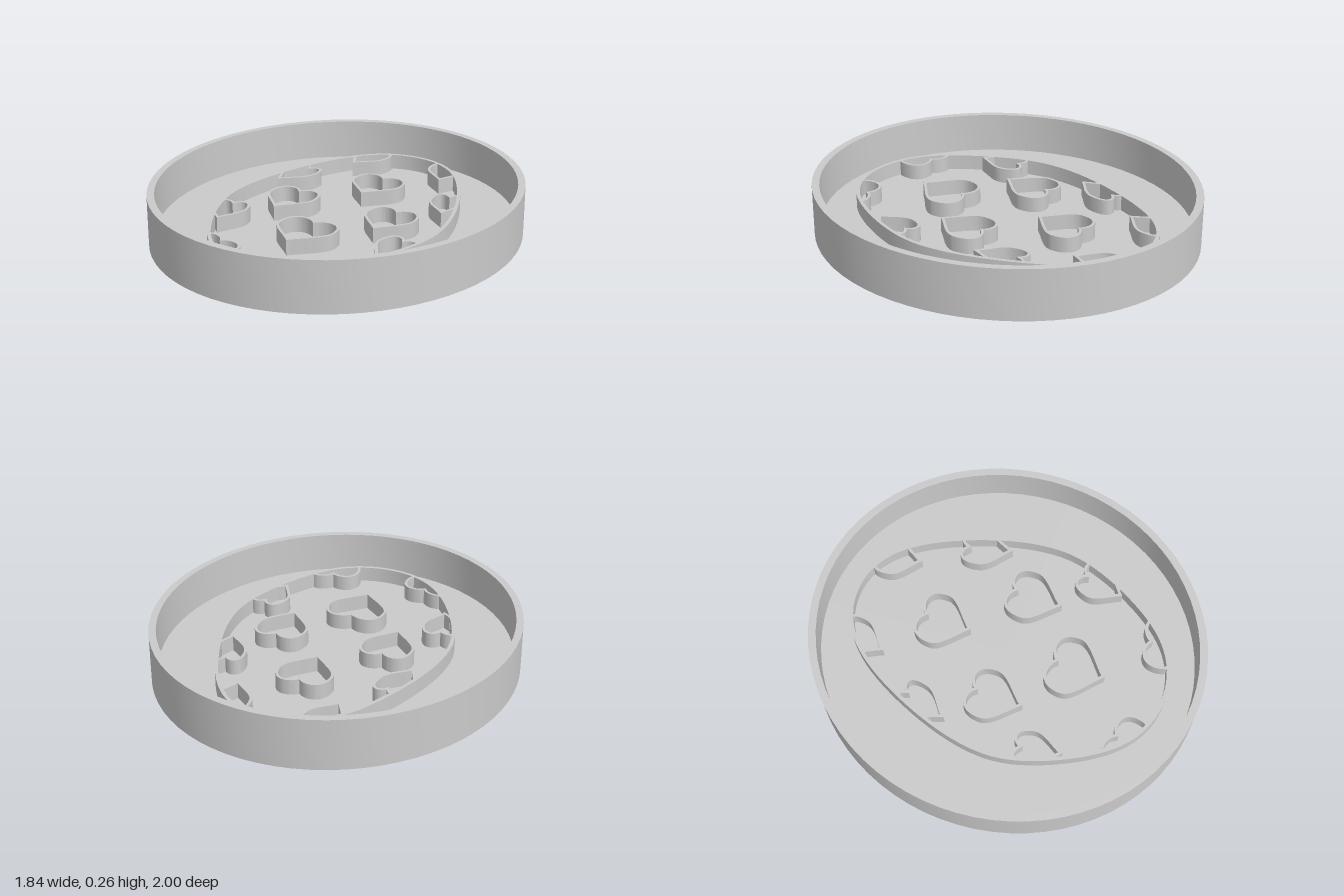
import * as THREE from 'three';
import { toCreasedNormals } from 'three/addons/utils/BufferGeometryUtils.js';

const FLOOR = 0.052, WALL_TOP = 0.132, RIM_TOP = 0.262, CX = 0.018;

// half width of the egg outline at depth z
function eggHalf(z) {
  const t = z < 0.08 ? (0.08 - z) / 0.92 : (z - 0.08) / 0.755;
  return t >= 1 ? 0 : 0.587 * Math.sqrt(1 - t * t) * (1 - 0.45 * t * t * (1 - t));
}

// egg outline as [x, z] points
function eggPath(n) {
  const pts = [];
  for (let i = 0; i < n; i++) {
    const a = (i / n) * Math.PI * 2, s = Math.sin(a);
    const z = 0.08 + s * (s < 0 ? 0.92 : 0.755);
    pts.push(new THREE.Vector2(CX + Math.sign(Math.cos(a)) * eggHalf(z), z));
  }
  return pts;
}

// heart outline given its notch, tip and half width
function heartPath(notch, tip, half) {
  const v = (x, y) => new THREE.Vector2(x, y);
  const lobe = new THREE.CubicBezierCurve(v(0, 0), v(0.25, -0.17), v(1, -0.2), v(1, 0.3)).getPoints(24);
  const side = new THREE.CubicBezierCurve(v(1, 0.3), v(1, 0.55), v(0.45, 0.72), v(0, 1)).getPoints(24);
  const right = [...lobe, ...side.slice(1)];
  const left = right.slice(1, -1).reverse().map(p => v(-p.x, p.y));
  const axis = tip.clone().sub(notch);
  const across = v(axis.y, -axis.x).normalize().multiplyScalar(half);
  return [...right, ...left].map(p =>
    notch.clone().addScaledVector(axis, p.y).addScaledVector(across, p.x));
}

// copy of a path moved inward with mitred corners
function inset(pts, d, closed) {
  const n = pts.length;
  return pts.map((p, i) => {
    const a = closed || i > 0 ? pts[(i + n - 1) % n] : p;
    const b = closed || i < n - 1 ? pts[(i + 1) % n] : p;
    const d1 = p.clone().sub(a).normalize(), d2 = b.clone().sub(p).normalize();
    const m = d1.clone().add(d2).normalize();
    const ref = d1.lengthSq() > 0 ? d1 : d2;
    const k = d / Math.max(0.5, m.dot(ref));
    return new THREE.Vector2(p.x - m.y * k, p.y + m.x * k);
  });
}

// upright wall following a path
function wall(name, pts, thick, closed, material) {
  const flip = list => list.map(p => new THREE.Vector2(p.x, -p.y));
  const back = inset(pts, thick, closed).reverse();
  let shape;
  if (closed) {
    shape = new THREE.Shape(flip(pts));
    shape.holes.push(new THREE.Path(flip(back)));
  } else {
    shape = new THREE.Shape(flip([...pts, ...back]));
  }
  const geo = new THREE.ExtrudeGeometry(shape, { depth: WALL_TOP - FLOOR + 0.005, bevelEnabled: false });
  geo.rotateX(-Math.PI / 2).translate(0, FLOOR - 0.005, 0);
  const mesh = new THREE.Mesh(toCreasedNormals(geo, 0.5), material);
  mesh.name = name;
  return mesh;
}

// stretches of a closed path that lie inside the egg, or null if all of it does
function clipToEgg(pts) {
  const inside = p => Math.abs(p.x - CX) < eggHalf(p.y) - 0.006;
  const start = pts.findIndex(p => !inside(p));
  if (start < 0) return null;
  const runs = [];
  let run = [];
  for (let i = 1; i <= pts.length; i++) {
    const p = pts[(start + i) % pts.length];
    if (inside(p)) run.push(p);
    else {
      if (run.length > 2) runs.push(run);
      run = [];
    }
  }
  return runs;
}

export function createModel() {
  const group = new THREE.Group();
  const grey = new THREE.MeshStandardMaterial({ color: 0xcacaca });
  grey.name = 'grey';

  // oval tray: underside, outer wall, rim, inner wall and floor
  const profile = [[0, 0], [1, 0], [1, RIM_TOP], [0.961, RIM_TOP], [0.961, FLOOR], [0, FLOOR]]
    .map(([r, y]) => new THREE.Vector2(r, y));
  const trayGeo = new THREE.LatheGeometry(profile, 72);
  trayGeo.scale(0.92, 1, 1);
  const tray = new THREE.Mesh(toCreasedNormals(trayGeo, 0.5), grey);
  tray.name = 'tray';
  group.add(tray);

  // egg outline wall
  group.add(wall('eggWall', eggPath(96), 0.018, true, grey));

  // hearts: offset of notch from the middle, notch z, tip offset, tip z, half width, mirrored
  const hearts = [
    [0, -0.457, 0, -0.205, 0.143, false],
    [0, 0.25, 0, 0.515, 0.16, false],
    [0.285, -0.077, 0.285, 0.182, 0.137, true],
    [0.42, -0.393, 0.482, -0.16, 0.095, true],
    [0.488, 0.235, 0.444, 0.452, 0.1, true],
    [0.215, -0.8, 0.262, -0.576, 0.1, true],
    [0.262, 0.66, 0.32, 0.9, 0.143, true],
  ];
  for (const [nx, nz, tx, tz, half, mirrored] of hearts) {
    for (const s of mirrored ? [1, -1] : [1]) {
      const path = heartPath(new THREE.Vector2(CX + s * nx, nz), new THREE.Vector2(CX + s * tx, tz), half);
      const runs = clipToEgg(path);
      if (!runs) group.add(wall('heart', path, 0.014, true, grey));
      else runs.forEach(r => group.add(wall('cutHeart', r, 0.014, false, grey)));
    }
  }
  return group;
}
